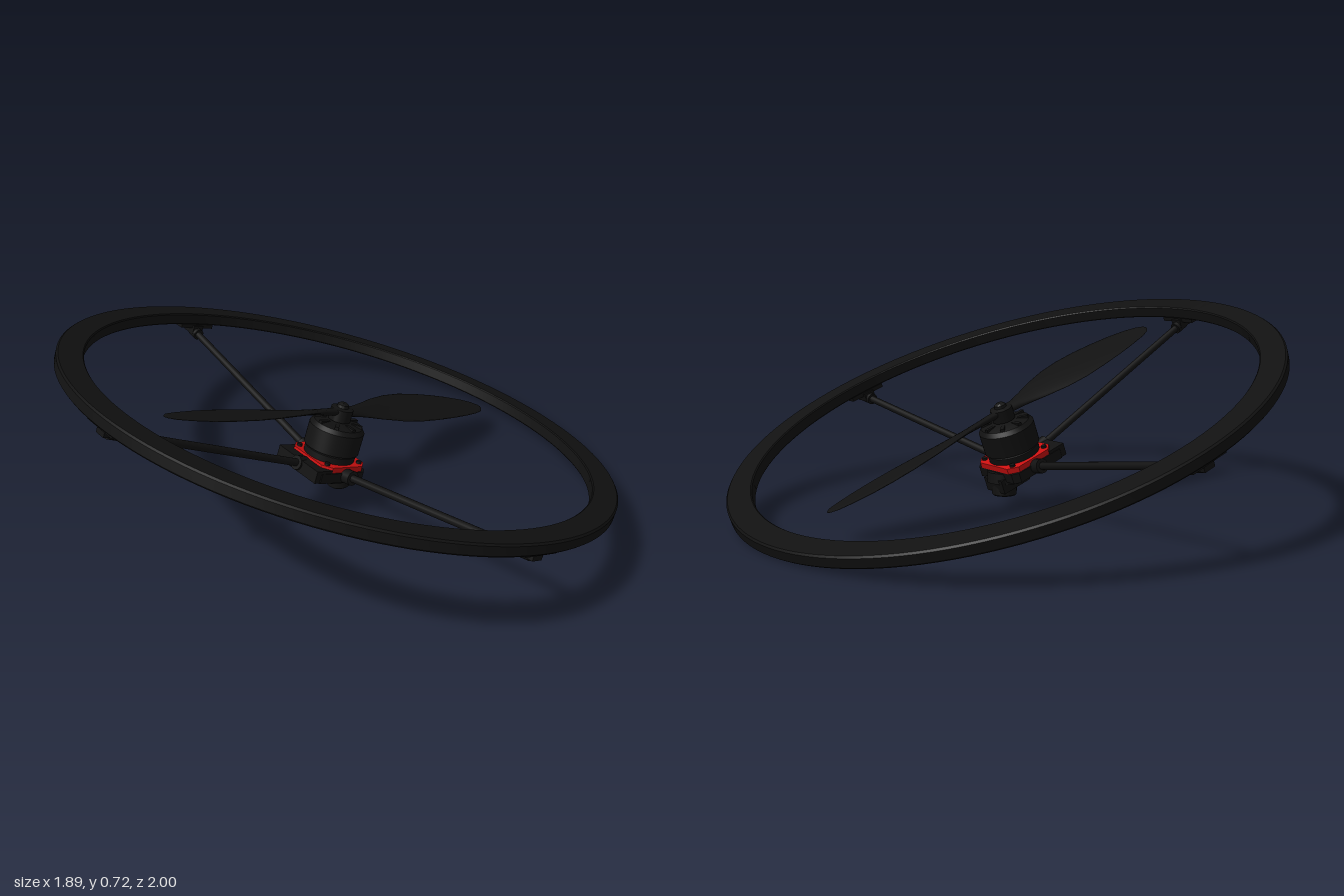
import * as THREE from 'three';
import { toCreasedNormals } from 'three/addons/utils/BufferGeometryUtils.js';

const BLACK = new THREE.MeshStandardMaterial({ color: 0x111111 });
const RED = new THREE.MeshStandardMaterial({ color: 0xcc1010 });
const V = (x, y, z) => new THREE.Vector3(x, y, z);

function add(parent, name, geometry, material = BLACK, x = 0, y = 0, z = 0) {
  const mesh = new THREE.Mesh(geometry, material);
  mesh.name = name;
  mesh.position.set(x, y, z);
  parent.add(mesh);
  return mesh;
}

// Round rod between two points
function rod(parent, name, a, b, radius) {
  const dir = b.clone().sub(a);
  const mid = a.clone().add(b).multiplyScalar(0.5);
  const mesh = add(parent, name, new THREE.CylinderGeometry(radius, radius, dir.length(), 16), BLACK, mid.x, mid.y, mid.z);
  mesh.quaternion.setFromUnitVectors(V(0, 1, 0), dir.normalize());
  return mesh;
}

// Solid of revolution with crisp edges from [radius, height] pairs, bottom to top
function turned(points, segments) {
  const profile = points.map(([r, y]) => new THREE.Vector2(r, y));
  return toCreasedNormals(new THREE.LatheGeometry(profile, segments), 0.5);
}

// Horizontal plate with cut corners
function plate(width, depth, height, cut) {
  const w = width / 2, d = depth / 2;
  const s = new THREE.Shape([
    [w, d - cut], [w - cut, d], [cut - w, d], [-w, d - cut],
    [-w, cut - d], [cut - w, -d], [w - cut, -d], [w, cut - d],
  ].map(([x, y]) => new THREE.Vector2(x, y)));
  const g = new THREE.ExtrudeGeometry(s, { depth: height, bevelEnabled: false });
  return g.rotateX(-Math.PI / 2).translate(0, -height / 2, 0);
}

// Twisted blade lofted from thin elliptical sections
function bladeGeometry() {
  // radius, rear edge z, front edge z, half thickness, pitch
  const sections = [
    [0.00, -0.022, 0.022, 0.014, 0.3], [0.06, -0.024, 0.024, 0.013, 0.38],
    [0.11, -0.038, 0.030, 0.011, 0.40], [0.18, -0.062, 0.044, 0.009, 0.36],
    [0.27, -0.086, 0.060, 0.008, 0.30], [0.36, -0.100, 0.067, 0.007, 0.25],
    [0.45, -0.104, 0.064, 0.006, 0.21], [0.54, -0.099, 0.056, 0.005, 0.18],
    [0.62, -0.088, 0.045, 0.004, 0.16], [0.69, -0.070, 0.031, 0.003, 0.15],
    [0.735, -0.050, 0.016, 0.003, 0.14], [0.755, -0.030, -0.004, 0.002, 0.14],
    [0.759, -0.017, -0.016, 0.001, 0.14],
  ];
  const n = 20, pos = [], index = [];
  sections.forEach(([r, z0, z1, thick, pitch], i) => {
    for (let j = 0; j < n; j++) {
      const a = (j / n) * Math.PI * 2;
      const s = (z0 + z1) / 2 + (z1 - z0) / 2 * Math.cos(a);
      const t = thick * Math.sin(a);
      pos.push(r, t * Math.cos(pitch) - s * Math.sin(pitch), s * Math.cos(pitch) + t * Math.sin(pitch));
      if (i < sections.length - 1) {
        const p = i * n + j, q = i * n + (j + 1) % n;
        index.push(p, p + n, q, q, p + n, q + n);
      }
    }
  });
  const g = new THREE.BufferGeometry();
  g.setAttribute('position', new THREE.Float32BufferAttribute(pos, 3));
  g.setIndex(index);
  g.computeVertexNormals();
  return g;
}

export function createModel() {
  const model = new THREE.Group();
  model.name = 'guardedPropeller';

  // Everything but the lower knob shares the tilt of the ring
  const tilted = new THREE.Group();
  tilted.name = 'tiltedAssembly';
  tilted.position.y = 0.364;
  tilted.rotation.z = -THREE.MathUtils.degToRad(20);
  model.add(tilted);

  // Guard ring
  add(tilted, 'guardRing', turned([
    [0.908, -0.018], [0.912, -0.022], [0.994, -0.022], [1, -0.016],
    [1, 0.016], [0.994, 0.022], [0.912, 0.022], [0.908, 0.018], [0.908, -0.018],
  ], 128));

  // Propeller
  const propeller = new THREE.Group();
  propeller.name = 'propeller';
  tilted.add(propeller);
  const blade = bladeGeometry();
  for (let i = 0; i < 2; i++) add(propeller, 'blade', blade).rotation.y = i * Math.PI;
  add(propeller, 'hub', turned([
    [0, -0.03], [0.04, -0.03], [0.04, 0.014], [0.022, 0.018], [0.02, 0.028], [0.012, 0.034], [0, 0.035],
  ], 32));

  // Motor
  const motor = new THREE.Group();
  motor.name = 'motor';
  tilted.add(motor);
  add(motor, 'motorCan', turned([
    [0, -0.135], [0.1, -0.135], [0.1, -0.057], [0.088, -0.042], [0.05, -0.034], [0, -0.032],
  ], 48));
  add(motor, 'motorBase', turned([
    [0, -0.17], [0.092, -0.17], [0.094, -0.142], [0.085, -0.138], [0, -0.138],
  ], 48));
  for (let i = 0; i < 8; i++) {
    const a = i * Math.PI / 4;
    add(motor, 'coolingRib', new THREE.BoxGeometry(0.04, 0.01, 0.014), BLACK,
      0.066 * Math.cos(a), -0.037, -0.066 * Math.sin(a)).rotation.y = a;
  }

  // Mount under the motor
  const mount = new THREE.Group();
  mount.name = 'mount';
  tilted.add(mount);
  add(mount, 'redPlate', plate(0.2, 0.215, 0.02, 0.03), RED, 0, -0.176, 0);
  add(mount, 'basePlate', plate(0.235, 0.225, 0.036, 0.02), BLACK, -0.018, -0.204, 0);
  add(mount, 'rearBlock', new THREE.BoxGeometry(0.07, 0.045, 0.22), BLACK, -0.105, -0.198, 0);
  add(mount, 'lowerBlock', new THREE.BoxGeometry(0.12, 0.05, 0.1), BLACK, 0.06, -0.235, 0);
  for (const x of [-0.075, 0.075]) for (const z of [-0.08, 0.08])
    add(mount, 'screw', new THREE.CylinderGeometry(0.01, 0.01, 0.01, 12), BLACK, x, -0.163, z);

  // Three struts with sockets at the mount and clamps under the ring
  for (const angle of [-Math.PI / 2, Math.PI / 2, Math.PI]) {
    const strut = new THREE.Group();
    strut.name = 'strutAssembly';
    strut.rotation.y = angle;
    tilted.add(strut);
    const inner = V(0.1, -0.199, 0), outer = V(0.94, -0.052, 0);
    rod(strut, 'strut', inner, outer, 0.0135);
    rod(strut, 'mountSocket', inner, inner.clone().lerp(outer, 0.055), 0.026);
    rod(strut, 'ringSocket', inner.clone().lerp(outer, 0.945), outer, 0.022);
    add(strut, 'ringClamp', new THREE.BoxGeometry(0.055, 0.02, 0.15), BLACK, 0.943, -0.03, 0);
    add(strut, 'clampBlock', new THREE.BoxGeometry(0.06, 0.032, 0.045), BLACK, 0.935, -0.045, 0);
  }

  // Upright knob below the mount
  add(model, 'lowerKnob', turned([
    [0, 0.065], [0.04, 0.065], [0.044, 0.069], [0.044, 0.11], [0.06, 0.112], [0.06, 0.15], [0, 0.15],
  ], 32), BLACK, -0.012, 0, 0);

  return model;
}
